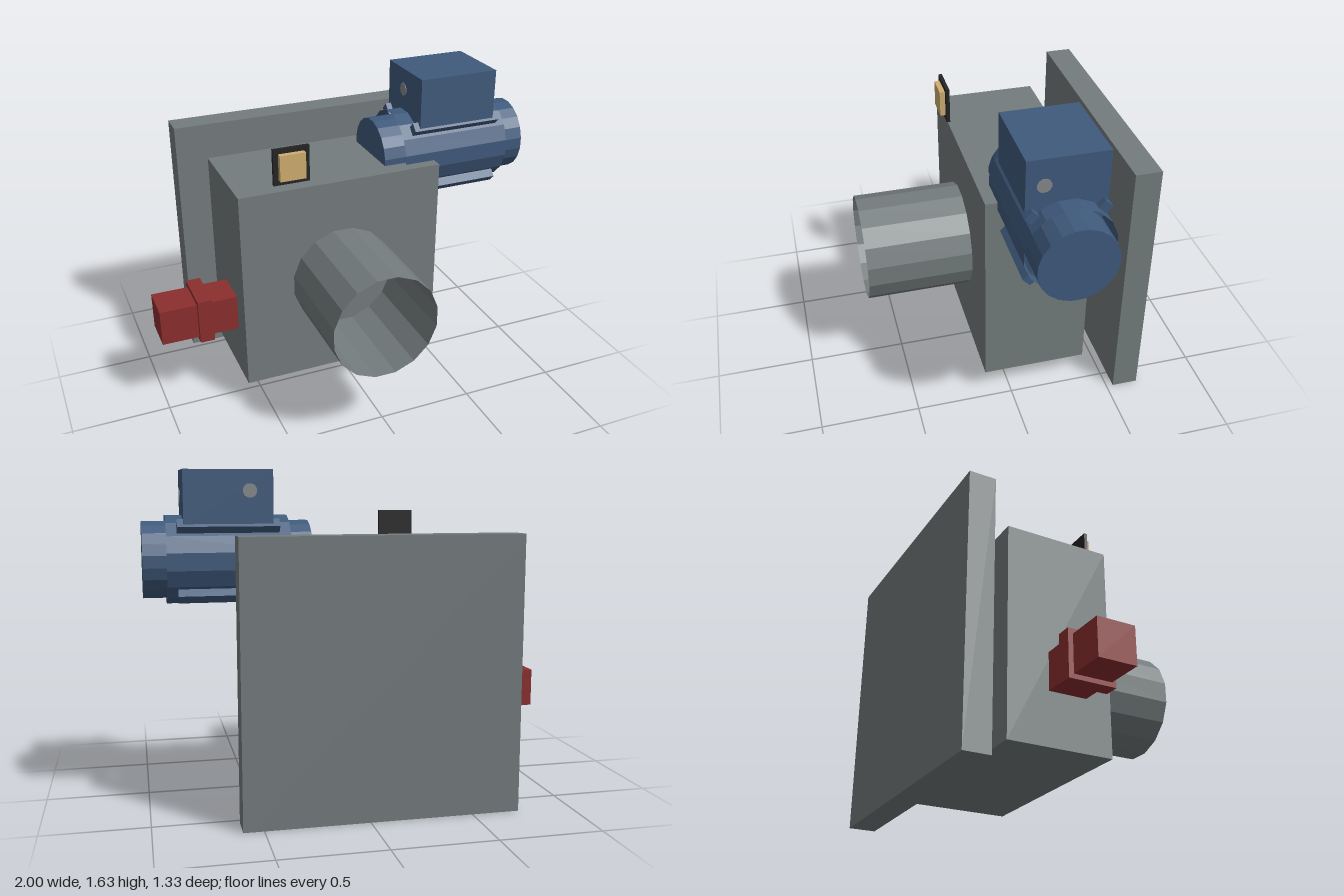
import * as THREE from 'three';

const mat = (name, color, side = THREE.FrontSide) => {
  const m = new THREE.MeshStandardMaterial({ color, side });
  m.name = name;
  m.flatShading = true;
  return m;
};

export function createModel() {
  const root = new THREE.Group();
  const grey = mat('housing grey', 0x747c7d, THREE.DoubleSide);
  const blue = mat('motor blue', 0x3f5a7c, THREE.DoubleSide);
  const red = mat('fitting red', 0x8b2e2e);
  const black = mat('panel black', 0x242424);
  const tan = mat('sensor tan', 0xcfae70);
  const plug = mat('plug grey', 0x85888a);

  const add = (name, geo, material, parent = root) => {
    const mesh = new THREE.Mesh(geo, material);
    mesh.name = name;
    parent.add(mesh);
    return mesh;
  };
  // Box given by its limits along each axis
  const box = (name, material, [x0, x1], [y0, y1], [z0, z1], parent) => {
    const m = add(name, new THREE.BoxGeometry(x1 - x0, y1 - y0, z1 - z0), material, parent);
    m.position.set((x0 + x1) / 2, (y0 + y1) / 2, (z0 + z1) / 2);
    return m;
  };
  // Cylinder between two positions along x or z
  const tube = (name, material, axis, r, a, b, at, sides, open, parent) => {
    const geo = new THREE.CylinderGeometry(r, r, b - a, sides, 1, open, Math.PI / sides);
    if (axis === 'x') geo.rotateZ(-Math.PI / 2);
    else geo.rotateX(Math.PI / 2);
    const m = add(name, geo, material, parent);
    m.position.set(...at);
    m.position[axis] = (a + b) / 2;
    return m;
  };

  // Housing and wall plate
  box('housing', grey, [-0.6, 0.465], [0.135, 1.2], [-0.4, 0.133]);
  box('wallPlate', grey, [-0.733, 0.597], [0, 1.333], [-0.667, -0.535]);

  // Open round ducts
  tube('frontDuct', grey, 'z', 0.271, 0.133, 0.667, [-0.067, 0.667, 0], 16, true);
  tube('rearDuct', grey, 'z', 0.271, -0.535, -0.4, [-0.067, 0.667, 0], 16, true);

  // Motor: core, open shell around it, four diagonal fins
  const motor = new THREE.Group();
  motor.name = 'motor';
  root.add(motor);
  const axis = [0, 1.203, -0.135];
  tube('motorCore', blue, 'x', 0.185, 0.2, 1.0, axis, 20, false, motor);
  tube('motorShell', blue, 'x', 0.213, 0.305, 0.89, axis, 16, true, motor);
  for (let i = 0; i < 4; i++) {
    const geo = new THREE.BoxGeometry(0.48, 0.083, 0.05);
    geo.translate(0, 0.2115, 0);
    geo.rotateX(Math.PI / 4 + (i * Math.PI) / 2);
    add('coolingFin', geo, blue, motor).position.set(0.6, axis[1], axis[2]);
  }

  // Terminal box with cable plugs on three sides
  box('terminalBox', blue, [0.39, 0.81], [1.365, 1.628], [-0.32, 0.052], motor);
  tube('cablePlugLeft', plug, 'x', 0.034, 0.806, 0.813, [0, 1.5, -0.03], 12, false, motor);
  tube('cablePlugRight', plug, 'x', 0.034, 0.387, 0.394, [0, 1.52, -0.15], 12, false, motor);
  tube('cablePlugBack', plug, 'z', 0.034, -0.323, -0.316, [0.5, 1.53, 0], 12, false, motor);

  // Side fitting with collar
  box('sideFitting', red, [-1, -0.6], [0.4, 0.59], [-0.19, 0.003]);
  box('fittingCollar', red, [-0.81, -0.735], [0.377, 0.615], [-0.215, 0.025]);

  // Sensor on its panel
  box('sensorPanel', black, [-0.427, -0.245], [1.243, 1.426], [0.135, 0.153]);
  box('sensor', tan, [-0.402, -0.272], [1.27, 1.402], [0.153, 0.18]);

  return root;
}
